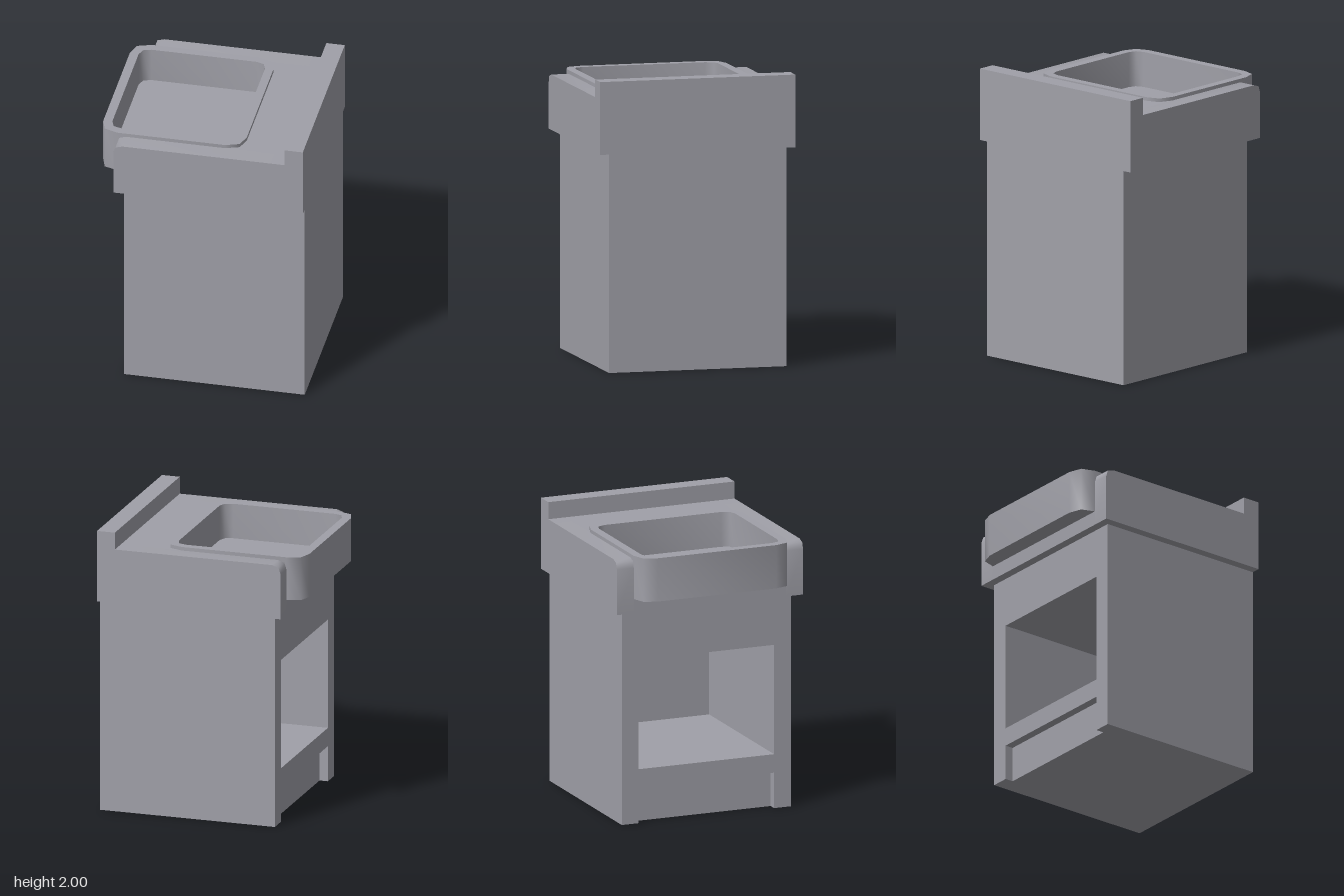
import * as THREE from 'three';
import { toCreasedNormals } from 'three/addons/utils/BufferGeometryUtils.js';

const grey = new THREE.MeshStandardMaterial({ color: 0xa0a0a8 });
grey.name = 'plain grey';

const polygon = (points) => new THREE.Shape(points.map(([a, b]) => new THREE.Vector2(a, b)));
const rectangle = (a0, b0, a1, b1) => polygon([[a0, b0], [a1, b0], [a1, b1], [a0, b1]]);

// Rectangle in plan with faceted corners; reach is the corner length, nick its middle point
function basinOutline(x0, x1, w, reachX, reachZ, nickX, nickZ) {
  const cx = (x0 + x1) / 2, h = (x1 - x0) / 2;
  const corner = [[h, w - reachZ], [h - nickX, w - nickZ], [h - reachX, w]];
  const mirrored = (sx, sz) => corner.map(([x, z]) => [cx + sx * x, sz * z]);
  return polygon([
    ...mirrored(1, 1), ...mirrored(-1, 1).reverse(),
    ...mirrored(-1, -1), ...mirrored(1, -1).reverse(),
  ]);
}

export function createModel() {
  const model = new THREE.Group();

  const add = (name, geometry, parent = model) => {
    const mesh = new THREE.Mesh(geometry, grey);
    mesh.name = name;
    parent.add(mesh);
    return mesh;
  };
  const extrude = (shape, depth) => toCreasedNormals(
    new THREE.ExtrudeGeometry(shape, { depth, bevelEnabled: false }), 0.96);
  // Extrude a (z, y) section along x, a plan along y
  const alongX = (shape, x0, x1) => extrude(shape, x1 - x0).rotateY(Math.PI / 2).translate(x0, 0, 0);
  const alongY = (shape, y0, y1) => extrude(shape, y1 - y0).rotateX(-Math.PI / 2).translate(0, y0, 0);
  const box = (x0, x1, y0, y1, z0, z1) => new THREE.BoxGeometry(x1 - x0, y1 - y0, z1 - z0)
    .translate((x0 + x1) / 2, (y0 + y1) / 2, (z0 + z1) / 2);

  // Cabinet: face frame with toe recess, hollow body, closed rear panel
  const cabinet = new THREE.Group();
  cabinet.name = 'cabinet';
  model.add(cabinet);
  const opening = rectangle(-0.5, 0.38, 0.5, 1.15);
  const frame = polygon([
    [-0.625, 0], [-0.5, 0], [-0.5, 0.25], [0.5, 0.25], [0.5, 0], [0.625, 0],
    [0.625, 1.5], [-0.625, 1.5],
  ]);
  frame.holes.push(opening);
  add('faceFrame', alongX(frame, -0.535, -0.475), cabinet);
  const body = rectangle(-0.625, 0, 0.625, 1.5);
  body.holes.push(opening);
  add('cabinetBody', alongX(body, -0.475, 0.59), cabinet);
  add('rearPanel', box(0.59, 0.72, 0, 1.5, -0.625, 0.625), cabinet);

  // Countertop: two profiled ends with a rounded front edge and upstand
  const counter = new THREE.Group();
  counter.name = 'countertop';
  model.add(counter);
  const profile = polygon([
    [-0.597, 1.5], [0.72, 1.5], [0.72, 2], [0.592, 2], [0.592, 1.88],
    [-0.535, 1.88], [-0.582, 1.865], [-0.597, 1.82],
  ]);
  for (const z of [-0.688, 0.563]) {
    add('counterEnd', extrude(profile, 0.125).translate(0, 0, z), counter);
  }
  // Middle of the counter: ledge under the basin, slab behind it, upstand
  add('basinLedge', box(-0.597, 0.72, 1.5, 1.6, -0.563, 0.563), counter);
  const slab = polygon([
    [0.15, -0.563], [0.592, -0.563], [0.592, 0.563], [0.15, 0.563],
    [0.248, 0.53], [0.278, 0.438], [0.278, -0.438], [0.248, -0.53],
  ]);
  add('counterSlab', alongY(slab, 1.6, 1.88), counter);
  add('upstand', box(0.592, 0.72, 1.6, 2, -0.563, 0.563), counter);

  // Basin: ring wall projecting past the counter front, plus its floor
  const basin = new THREE.Group();
  basin.name = 'basin';
  model.add(basin);
  const inner = () => basinOutline(-0.658, 0.22, 0.503, 0.073, 0.073, 0.02, 0.018);
  const wall = basinOutline(-0.72, 0.278, 0.563, 0.125, 0.125, 0.03, 0.033);
  wall.holes.push(inner());
  add('basinWall', alongY(wall, 1.6, 1.905), basin);
  add('basinFloor', alongY(inner(), 1.6, 1.66), basin);

  return model;
}
